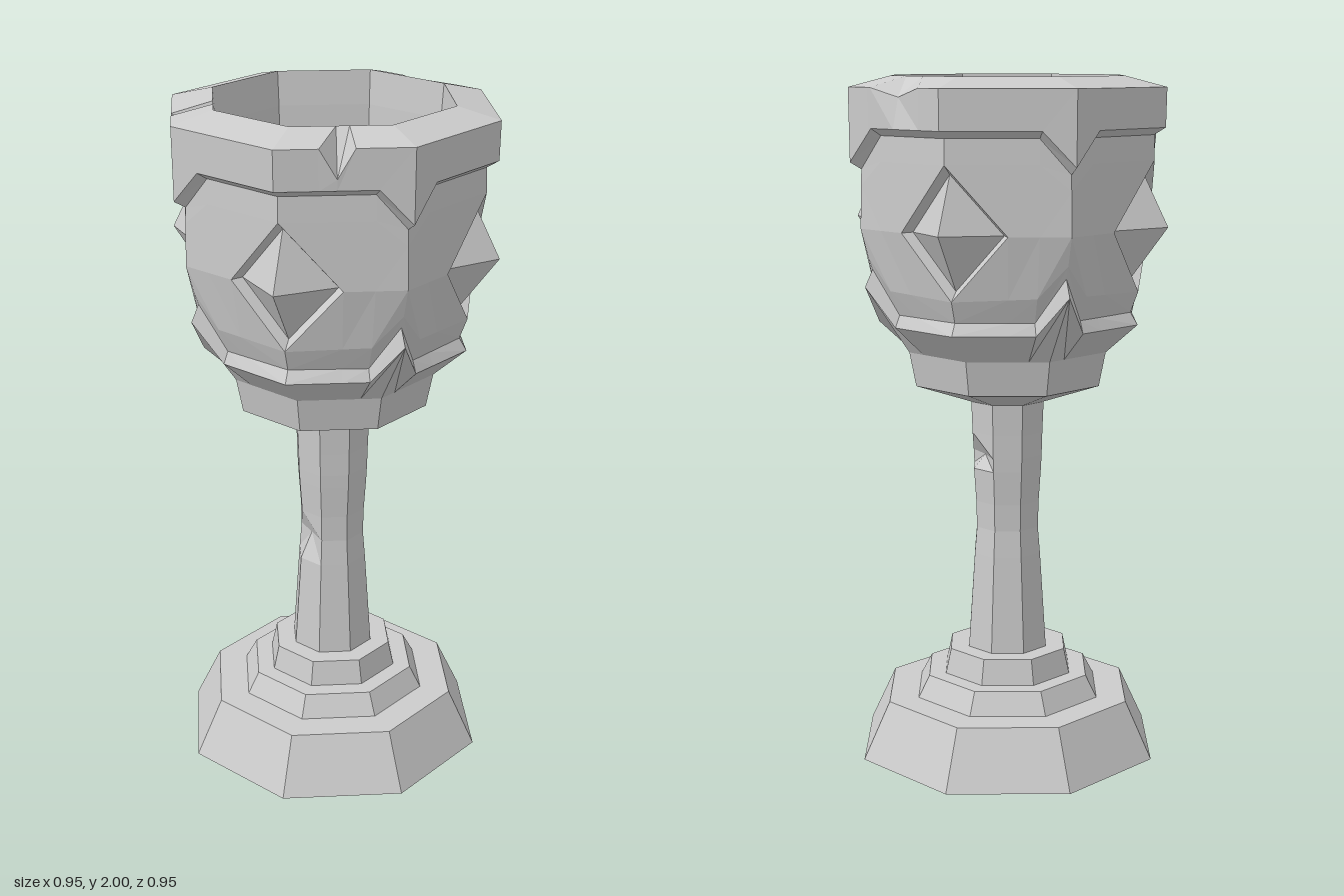
import * as THREE from 'three';

const lerp = THREE.MathUtils.lerp;
const MID = 0.25; // where the zigzag points start on each face

// Point on an eight-sided ring. t runs from an axis corner (0) to a diagonal corner (1).
// r and y are numbers or triples: [axis corner, zigzag start, diagonal corner].
const at = (v, t) => typeof v === 'number' ? v
  : t < MID ? lerp(v[0], v[1], t / MID) : lerp(v[1], v[2], (t - MID) / (1 - MID));
const corner = (k) => new THREE.Vector3(Math.sin(k * Math.PI / 4), 0, Math.cos(k * Math.PI / 4));
function ringPoint([r, y], k, u) {
  const t = k % 2 ? 1 - u : u;
  const p = corner(k).lerp(corner(k + 1), u).multiplyScalar(at(r, t));
  p.y = at(y, t);
  return p;
}

function facetMesh(name, points) {
  const geo = new THREE.BufferGeometry().setFromPoints(points);
  geo.computeVertexNormals();
  const mesh = new THREE.Mesh(geo, new THREE.MeshStandardMaterial({ color: 0xcccccc, flatShading: true }));
  mesh.name = name;
  return mesh;
}

// Skin over rings, listed bottom to top on the outside.
// stations(k): extra t values on face k; edit(p, k, t, ring) chips a point;
// gemRow: index of the ring at a gem's middle, where diamond holes are left open.
function shell(name, rings, { stations = () => [], edit = () => {}, gemRow = -1 } = {}) {
  const out = [];
  for (let k = 0; k < 8; k++) {
    const ts = [0, ...stations(k), 1].sort((a, b) => a - b);
    if (k % 2) ts.reverse();
    const grid = rings.map((ring, i) => ts.map((t) => {
      const p = ringPoint(ring, k, k % 2 ? 1 - t : t);
      edit(p, k, t, i);
      return p;
    }));
    for (let i = 0; i + 1 < rings.length; i++) {
      for (let j = 0; j + 1 < ts.length; j++) {
        const a = grid[i][j], b = grid[i][j + 1], c = grid[i + 1][j + 1], d = grid[i + 1][j];
        const gemCell = Math.max(ts[j], ts[j + 1]) === 1;
        const diagRight = ts[j + 1] === 1;
        if (gemCell && i === gemRow - 1) out.push(...(diagRight ? [a, b, d] : [a, b, c]));
        else if (gemCell && i === gemRow) out.push(...(diagRight ? [a, c, d] : [b, c, d]));
        else if (k % 2) out.push(a, b, c, a, c, d);
        else out.push(a, b, d, b, c, d);
      }
    }
  }
  return facetMesh(name, out);
}

export function createModel() {
  const group = new THREE.Group();
  const body = new THREE.Group();
  body.name = 'goblet';
  body.position.set(-0.01, 0, 0.008);
  group.add(body);

  // Stepped foot
  body.add(shell('foot', [
    [0, 0], [0.462, 0], [0.38, 0.17], [0.288, 0.17], [0.253, 0.235],
    [0.2, 0.235], [0.183, 0.31], [0, 0.31],
  ]));

  // Waisted stem with two chipped edges
  body.add(shell('stem', [
    [0.125, 0.31], [0.105, 0.6], [0.098, 0.68], [0.1, 0.76],
    [0.107, 0.86], [0.109, 0.9], [0.111, 0.97], [0.115, 1.07],
  ], {
    edit(p, k, t, i) {
      if (i === 5 && p.x > 0.1) p.x = 0.07;
      if (i === 2 && p.x < -0.09) p.x = -0.068;
    },
  }));

  // Bowl with a zigzag band and four diamond openings on the diagonals
  const gemBottom = [[0.424, 0.415, 0.4], [1.5, 1.41, 1.4]];
  const gemMiddle = [0.445, 1.58];
  const gemTop = [0.442, [1.7, 1.77, 1.77]];
  body.add(shell('bowl', [
    [0, 1.06], [0.11, 1.06], [0.285, 1.12], [0.305, 1.22],
    [[0.435, 0.4, 0.4], [1.415, 1.305, 1.305]],
    [[0.412, 0.385, 0.378], [1.465, 1.34, 1.34]],
    gemBottom, gemMiddle, gemTop,
    [0.44, [1.745, 1.84, 1.84]],
  ], { stations: () => [MID, 0.5], gemRow: 7 }));

  // Rim with a pointed lower edge and notches
  const notches = { 7: [0.55, 0.13], 2: [0.5, 0.28], 5: [0.32, 0.07] };
  body.add(shell('rim', [
    [0.44, [1.745, 1.84, 1.84]],
    [0.473, [1.765, 1.86, 1.86]],
    [0.475, 1.97],
    [0.352, 2],
    [0.345, 1.9],
  ], {
    stations: (k) => notches[k] ? [MID, ...[-1, 0, 1].map((s) => notches[k][0] + s * notches[k][1])] : [MID],
    edit(p, k, t, i) {
      if (!notches[k] || t !== notches[k][0]) return;
      if (k === 7 && i === 2) p.y = 1.89;
      if (k === 2 && i === 2) { p.y = 1.945; p.x *= 0.95; p.z *= 0.95; }
      if (k === 5 && i === 3) { p.y = 1.93; p.x *= 1.1; p.z *= 1.1; }
    },
  }));

  // Hollow inside
  body.add(shell('interior', [[0.345, 1.9], [0.335, 1.5], [0.275, 1.28], [0.195, 1.2], [0, 1.2]]));

  // Faceted gems set into bevelled diamond sockets
  for (let k = 1; k < 8; k += 2) {
    const out = corner(k);
    const socket = [
      ringPoint(gemBottom, k, 0), ringPoint(gemMiddle, k, 0.5),
      ringPoint(gemTop, k, 0), ringPoint(gemMiddle, k - 1, 0.5),
    ];
    const center = out.clone().multiplyScalar(0.39).setY(1.585);
    const seat = socket.map((p) => p.clone().lerp(center, 0.14).addScaledVector(out, -0.03));
    const peak = out.clone().multiplyScalar(0.485).setY(1.585);
    const socketFaces = [], gemFaces = [];
    for (let i = 0; i < 4; i++) {
      const j = (i + 1) % 4;
      socketFaces.push(socket[i], socket[j], seat[j], socket[i], seat[j], seat[i]);
      gemFaces.push(seat[i], seat[j], peak);
    }
    body.add(facetMesh('gemSocket', socketFaces), facetMesh('gem', gemFaces));
  }
  return group;
}
